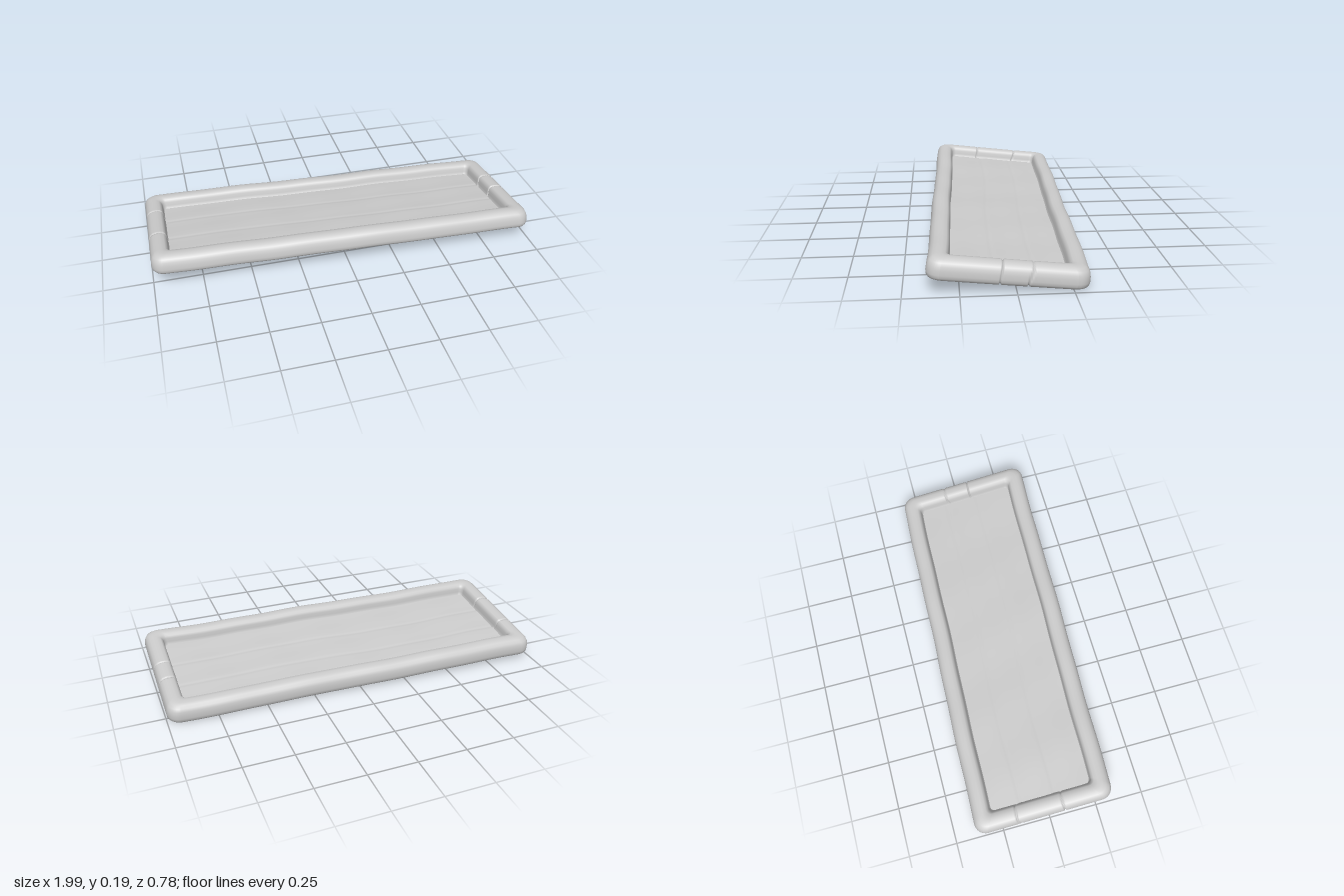
import * as THREE from 'three';

const material = new THREE.MeshStandardMaterial({ color: 0xcccccc });
const HALF_X = 0.997, HALF_Z = 0.361;

// Rim cross-section from the inner floor, over the top, to the underside: [inset, y]
const RIM = [
  [0.104, -0.016], [0.098, -0.008], [0.095, 0.006], [0.093, 0.024], [0.088, 0.038],
  [0.078, 0.047], [0.06, 0.05], [0.04, 0.049], [0.024, 0.044], [0.011, 0.033],
  [0.004, 0.018], [0.001, 0], [0, -0.02], [0.002, -0.034], [0.008, -0.044],
  [0.018, -0.05], [0.034, -0.052], [0.06, -0.05],
];

const bump = (d, width) => Math.exp(-((d / width) ** 2));

// Hand-worn waviness, then the slight slope and skew of the whole tray
function place(x, y, z) {
  y += 0.0016 * Math.sin(7 * x + 3 * z) + 0.001 * Math.sin(17 * x - 5 * z + 1);
  z += 0.002 * Math.sin(6 * x + 0.8) + 0.001 * Math.sin(15 * x);
  return [x, 0.101 + y + 0.105 * z - 0.012 * x, z - 0.105 * y + 0.033 * x];
}

// Grid of points joined into a smooth surface; columns may wrap round
function surface(name, rows, cols, point, wrap) {
  const positions = [], index = [];
  for (let j = 0; j < rows; j++)
    for (let i = 0; i < cols; i++) positions.push(...place(...point(i, j)));
  for (let j = 0; j < rows - 1; j++)
    for (let i = 0; i < (wrap ? cols : cols - 1); i++) {
      const n = (i + 1) % cols;
      const a = j * cols + i, b = j * cols + n, c = a + cols, d = b + cols;
      index.push(a, b, c, b, d, c);
    }
  const geometry = new THREE.BufferGeometry();
  geometry.setAttribute('position', new THREE.Float32BufferAttribute(positions, 3));
  geometry.setIndex(index);
  geometry.computeVertexNormals();
  const mesh = new THREE.Mesh(geometry, material);
  mesh.name = name;
  return mesh;
}

// Samples round a rectangle: a corner arc, then the straight side after it
function perimeterSamples() {
  const list = [];
  for (let q = 0; q < 4; q++) {
    for (let k = 0; k < 8; k++) list.push({ q, arc: k / 8, side: 0 });
    const n = q % 2 === 0 ? 100 : 240;
    for (let k = 0; k < n; k++) list.push({ q, arc: 1, side: k / n });
  }
  return list;
}

function perimeterPoint({ q, arc, side }, inset) {
  const r = Math.max(0.02, 0.06 - 0.4 * inset);
  const cx = HALF_X - inset - r, cz = HALF_Z - inset - r;
  const signs = [[1, 1], [-1, 1], [-1, -1], [1, -1]];
  const [sx, sz] = signs[q], [tx, tz] = signs[(q + 1) % 4];
  const angle = (q + arc) * Math.PI / 2;
  return [
    THREE.MathUtils.lerp(sx, tx, side) * cx + r * Math.cos(angle),
    THREE.MathUtils.lerp(sz, tz, side) * cz + r * Math.sin(angle),
  ];
}

// Joints across the two short ends
function jointDepth(x, y, z) {
  if (Math.abs(x) < 0.85) return 0;
  const [a, b] = x > 0 ? [0.035, -0.095] : [0.105, -0.13];
  const lean = 0.15 * y + 0.004 * Math.sin(60 * y);
  return Math.max(bump(z - a + lean * 0.3, 0.0035), bump(z - b + lean, 0.0035));
}

function createRim() {
  const samples = perimeterSamples();
  return surface('rim', RIM.length, samples.length, (i, j) => {
    let [inset, y] = RIM[j];
    let [x, z] = perimeterPoint(samples[i], inset);
    // Joints pinch the cross-section towards its core
    const depth = 0.14 * jointDepth(x, y, z);
    x += Math.sign(x) * depth * (inset - 0.05);
    y *= 1 - depth;
    return [x, y, z];
  }, true);
}

// Boarded panel with shallow lengthwise seams; facing is +1 up, -1 down
function createPanel(name, halfX, halfZ, level, facing, seamDepth) {
  const rows = 121, cols = 81;
  return surface(name, rows, cols, (i, j) => {
    const x = facing * halfX * (2 * j / (rows - 1) - 1);
    const z = halfZ * (2 * i / (cols - 1) - 1);
    let groove = 0.0006 * Math.sin(38 * z + 3 * x);
    for (const s of [0.07, -0.11])
      groove += seamDepth * bump(z - s - 0.006 * Math.sin(4 * x), 0.009);
    return [x, level - facing * groove, z];
  }, false);
}

export function createModel() {
  const group = new THREE.Group();
  group.name = 'tray';
  group.add(
    createRim(),
    createPanel('floor', 0.905, 0.27, -0.01, 1, 0.002),
    createPanel('underside', 0.955, 0.319, -0.051, -1, 0.004),
  );
  return group;
}
